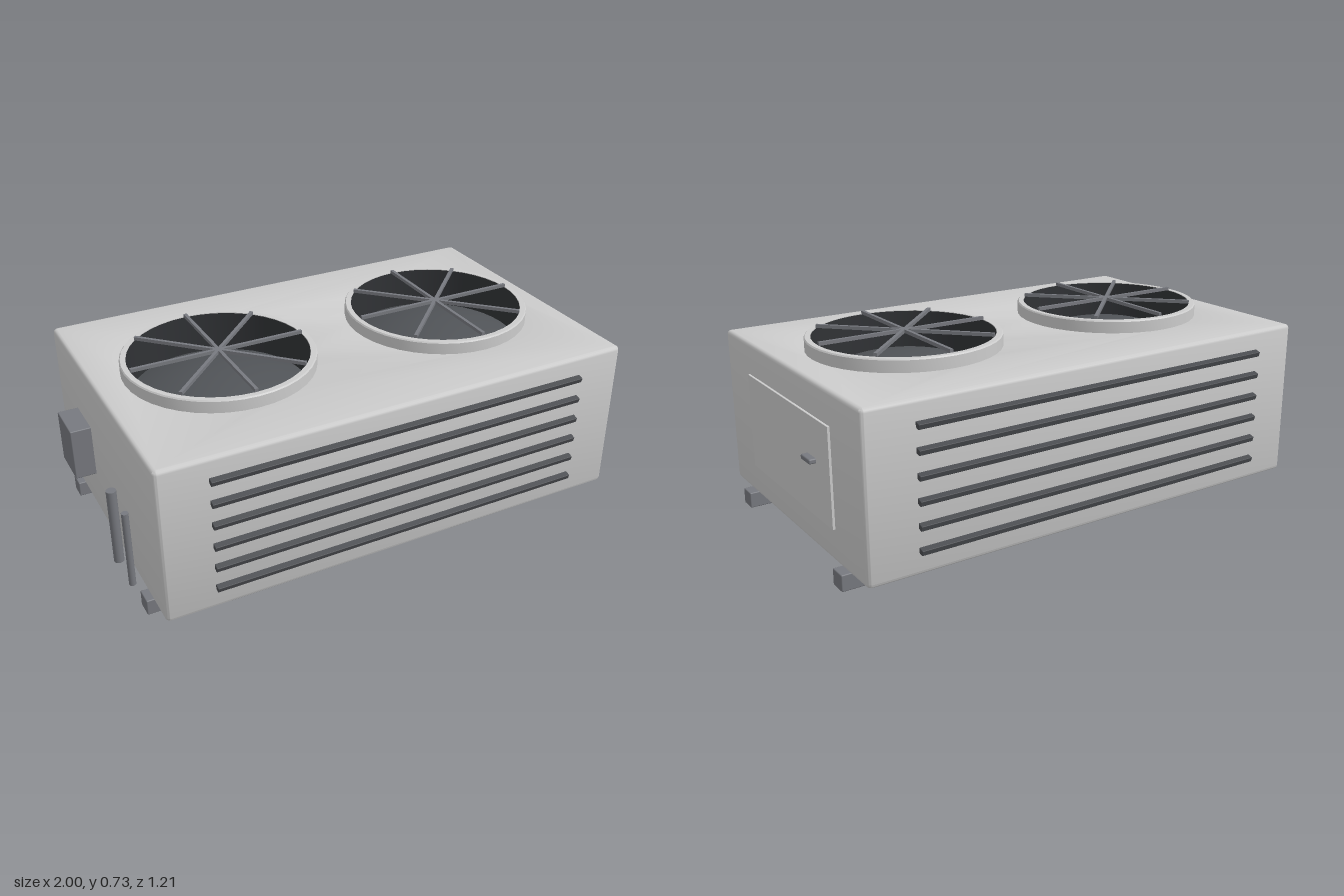
import * as THREE from 'three';
import { RoundedBoxGeometry } from 'three/addons/geometries/RoundedBoxGeometry.js';
import { toCreasedNormals } from 'three/addons/utils/BufferGeometryUtils.js';

const FANS = [-0.45, 0.495];
const mat = (color, side = THREE.FrontSide) => new THREE.MeshStandardMaterial({ color, side });

export function createModel() {
  const group = new THREE.Group();
  const shell = mat(0xcccccc);
  const dark = mat(0x4a4c50);
  const steel = mat(0x77797f);
  const fanDark = mat(0x505357, THREE.DoubleSide);
  const wellDark = mat(0x303235, THREE.DoubleSide);

  const add = (name, geometry, material, x = 0, y = 0, z = 0, parent = group) => {
    const mesh = new THREE.Mesh(geometry, material);
    mesh.name = name;
    mesh.position.set(x, y, z);
    parent.add(mesh);
    return mesh;
  };
  const box = (name, size, pos, material, radius = 0.004) =>
    add(name, new RoundedBoxGeometry(...size, 2, radius), material, ...pos);

  // Cabinet: softly bevelled plan with two round fan openings
  const bevel = 0.015, hx = 0.9425 - bevel, hz = 0.586 - bevel, r = 0.005;
  const plan = new THREE.Shape();
  plan.moveTo(-hx + r, -hz);
  plan.lineTo(hx - r, -hz).quadraticCurveTo(hx, -hz, hx, -hz + r);
  plan.lineTo(hx, hz - r).quadraticCurveTo(hx, hz, hx - r, hz);
  plan.lineTo(-hx + r, hz).quadraticCurveTo(-hx, hz, -hx, hz - r);
  plan.lineTo(-hx, -hz + r).quadraticCurveTo(-hx, -hz, -hx + r, -hz);
  for (const x of FANS) {
    const hole = new THREE.Path();
    hole.absarc(x - 0.0225, 0, 0.359, 0, Math.PI * 2, true);
    plan.holes.push(hole);
  }
  const cabinet = new THREE.ExtrudeGeometry(plan, {
    depth: 0.613 - 2 * bevel, bevelEnabled: true, bevelSize: bevel,
    bevelThickness: bevel, bevelSegments: 3, curveSegments: 16,
  });
  cabinet.rotateX(-Math.PI / 2);
  add('cabinet', toCreasedNormals(cabinet, 0.6), shell, 0.0225, 0.06 + bevel, 0);
  add('basePlate', new THREE.BoxGeometry(2 * hx, 0.01, 2 * hz), shell, 0.0225, 0.0645, 0);

  // Fans: collar, sunken well, domed floor and crossing guard bars
  const collarProfile = [
    [0.341, 0.66], [0.365, 0.66], [0.365, 0.717], [0.361, 0.722], [0.341, 0.722], [0.341, 0.66],
  ].map(([a, b]) => new THREE.Vector2(a, b));
  const domeProfile = [];
  for (let i = 0; i <= 10; i++) {
    const t = i / 10;
    domeProfile.push(new THREE.Vector2(0.34 * t, 0.56 + 0.08 * (1 - t * t)));
  }
  for (const x of FANS) {
    const fan = new THREE.Group();
    fan.name = 'fan';
    fan.position.x = x;
    group.add(fan);
    add('fanCollar', toCreasedNormals(new THREE.LatheGeometry(collarProfile, 40), 0.5), shell, 0, 0, 0, fan);
    add('fanWell', new THREE.CylinderGeometry(0.34, 0.34, 0.16, 40, 1, true), wellDark, 0, 0.64, 0, fan);
    add('fanDome', new THREE.LatheGeometry(domeProfile, 40), fanDark, 0, 0, 0, fan);
    for (let i = 0; i < 4; i++) {
      const bar = add('guardBar', new THREE.BoxGeometry(0.682, 0.013, 0.013), steel, 0, 0.728, 0, fan);
      bar.rotation.y = (i * Math.PI) / 4;
    }
  }

  // Louvres: six tilted slats on the front and the back
  for (const side of [1, -1]) {
    for (let i = 0; i < 6; i++) {
      const slat = box('louvre', [1.51, 0.02, 0.03], [0.02, 0.149 + i * 0.0876, side * 0.59], dark, 0.002);
      slat.rotation.x = side * 0.3;
    }
  }

  // Mounting rails
  for (const z of [-0.413, 0.413]) {
    box('mountingRail', [1.94, 0.062, 0.068], [0.025, 0.031, z], steel);
  }

  // Access panel with its handle on the left end
  add('accessPanel', new THREE.BoxGeometry(0.02, 0.365, 0.706), shell, 0.964, 0.368, 0);
  box('panelHandle', [0.03, 0.018, 0.072], [0.985, 0.398, -0.211], steel, 0.005);

  // Junction box and two pipes on the right end
  box('junctionBox', [0.085, 0.208, 0.172], [-0.9575, 0.34, -0.24], steel);
  for (const [z, radius] of [[0.175, 0.019], [0.328, 0.013]]) {
    add('refrigerantPipe', new THREE.CylinderGeometry(radius, radius, 0.31, 20), steel, -0.955, 0.215, z);
  }

  return group;
}
